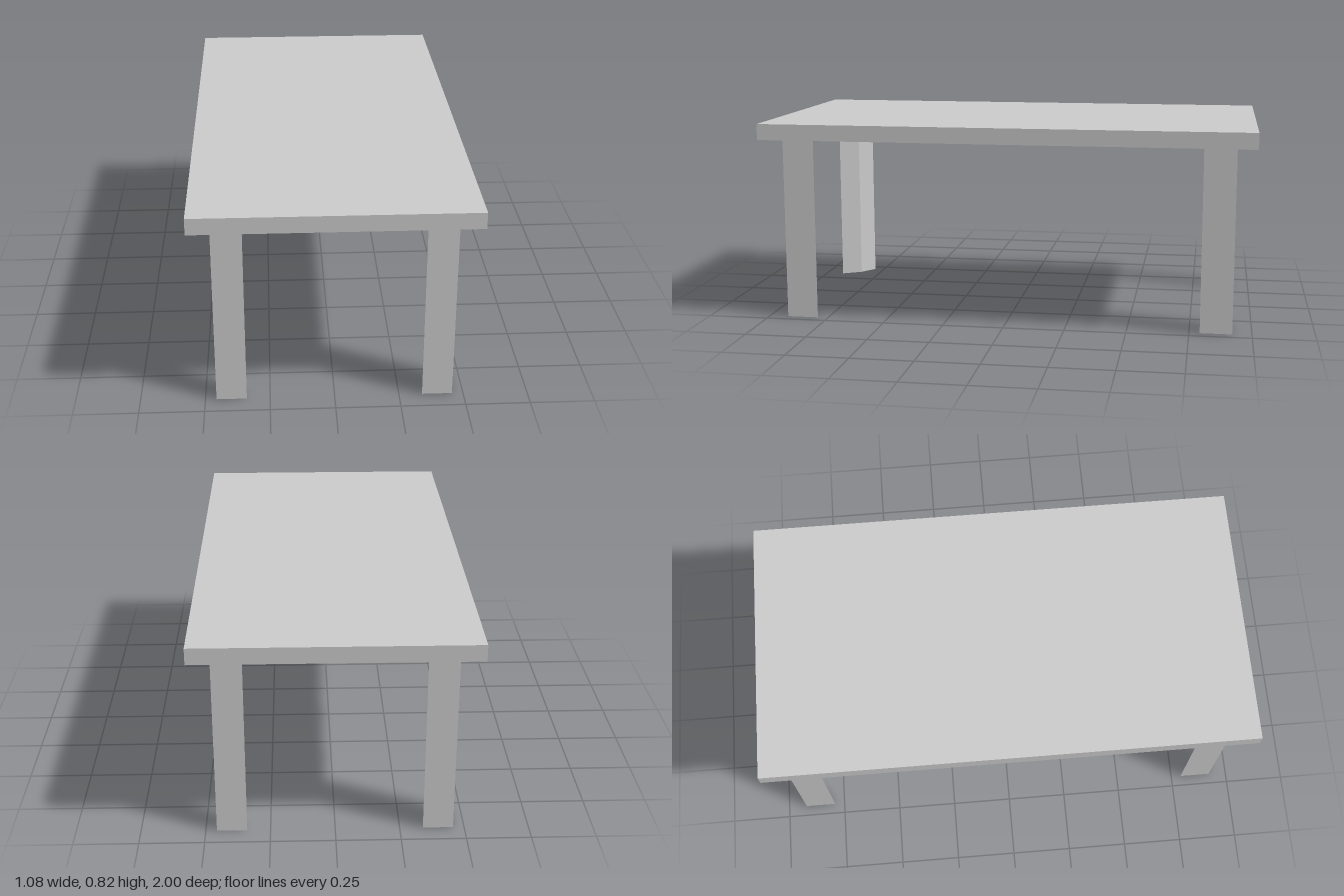
import * as THREE from 'three';

const TOP_BOTTOM = 0.755;
const TOP_HEIGHT = 0.065;

// Kite-shaped leg: two outer faces at a right angle, two inner faces meeting in a shallow ridge
function makeLeg(sx, sz, material) {
  const profile = [[0.457, 0.922], [0.34, 0.922], [0.386, 0.842], [0.457, 0.793]];
  const shape = new THREE.Shape(profile.map(([x, z]) => new THREE.Vector2(sx * x, -sz * z)));
  const geometry = new THREE.ExtrudeGeometry(shape, { depth: TOP_BOTTOM, bevelEnabled: false });
  geometry.rotateX(-Math.PI / 2);
  const leg = new THREE.Mesh(geometry, material);
  leg.name = (sz > 0 ? 'front' : 'back') + (sx > 0 ? 'Left' : 'Right') + 'Leg';
  return leg;
}

export function createModel() {
  const group = new THREE.Group();
  group.name = 'table';
  const material = new THREE.MeshStandardMaterial({ color: 0xcccccc, flatShading: true });

  // Flat rectangular top
  const top = new THREE.Mesh(new THREE.BoxGeometry(1.08, TOP_HEIGHT, 2), material);
  top.name = 'tableTop';
  top.position.y = TOP_BOTTOM + TOP_HEIGHT / 2;
  group.add(top);

  // Four legs, mirrored to each corner
  for (const sx of [-1, 1]) {
    for (const sz of [-1, 1]) group.add(makeLeg(sx, sz, material));
  }
  return group;
}
